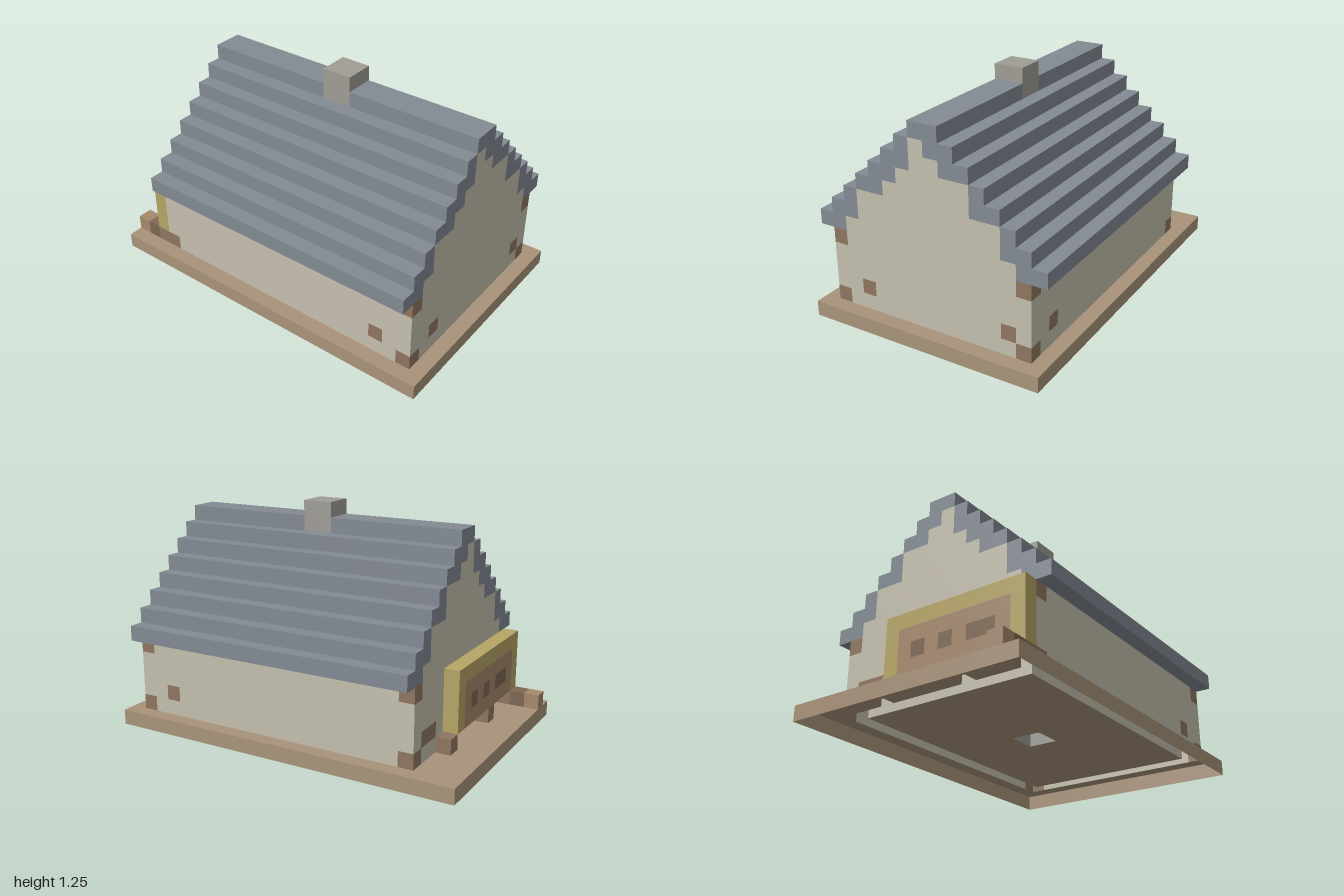
import * as THREE from 'three';

const UNIT = 1 / 12; // one block

const COLORS = {
  basePlate: 0xa8937a,
  walls: 0xc4bfae,
  timberBlocks: 0x8f765f,
  roof: 0x838a93,
  chimney: 0xa09d96,
  porchFrame: 0xb5a565,
  porchPanel: 0xa5886c,
  porchPanelDark: 0x7d6853,
};

// Outward direction of each block face and the two in-plane axes (u x v = n)
const FACES = [];
for (let axis = 0; axis < 3; axis++) {
  for (const sign of [1, -1]) {
    const n = [0, 0, 0], u = [0, 0, 0], v = [0, 0, 0];
    n[axis] = sign;
    u[(axis + (sign > 0 ? 1 : 2)) % 3] = 1;
    v[(axis + (sign > 0 ? 2 : 1)) % 3] = 1;
    FACES.push({ n, u, v });
  }
}

export function createModel() {
  const cells = new Map();
  const key = (x, y, z) => `${x},${y},${z}`;

  // Fill a range of blocks, upper limits excluded; later fills replace earlier ones
  function fill(part, x0, x1, y0, y1, z0, z1) {
    for (let x = x0; x < x1; x++)
      for (let y = y0; y < y1; y++)
        for (let z = z0; z < z1; z++) cells.set(key(x, y, z), { part, p: [x, y, z] });
  }
  const block = (part, x, y, z) => fill(part, x, x + 1, y, y + 1, z, z + 1);

  const FRONT = 10, BACK = -9; // end wall layers

  // Ground plate
  fill('basePlate', -8, 8, 0, 1, -12, 12);

  // Side walls
  for (const x of [-7, 6]) fill('walls', x, x + 1, 1, 6, BACK, FRONT + 1);

  // End walls with stepped gables
  for (const z of [BACK, FRONT]) {
    fill('walls', -7, 7, 1, 6, z, z + 1);
    for (let k = 0; k < 7; k++) fill('walls', k - 7, 7 - k, 6 + k, 7 + k, z, z + 1);
  }

  // Stepped roof, two blocks wide per course, mirrored about the ridge
  for (let k = 0; k < 7; k++) {
    fill('roof', k - 8, k - 6, 6 + k, 7 + k, BACK, FRONT + 1);
    fill('roof', 6 - k, 8 - k, 6 + k, 7 + k, BACK, FRONT + 1);
  }
  fill('roof', -1, 1, 13, 14, BACK, FRONT + 1);

  // Gable blocks let into the roof edge
  for (const z of [BACK, FRONT])
    for (const [x, y] of [[-5, 8], [4, 8], [2, 10], [-1, 12]]) block('walls', x, y, z);

  // Chimney stack
  fill('chimney', -1, 1, 1, 15, 0, 2);

  // Timber at the wall corners and scattered in the walls
  for (const x of [-7, 6])
    for (const z of [BACK, FRONT])
      for (const y of [1, 5]) block('timberBlocks', x, y, z);
  for (const [x, z] of [[-5, FRONT], [5, FRONT], [-7, 8], [6, 8], [5, BACK], [4, BACK]])
    block('timberBlocks', x, 2, z);

  // Framed panel behind the house, raised on short legs
  fill('porchFrame', -7, 3, 2, 6, -10, -9);
  fill('porchPanel', -6, 2, 2, 5, -10, -9);
  fill('porchPanelDark', -5, 1, 3, 4, -10, -9);
  for (const x of [-1, -3]) block('porchPanel', x, 3, -10);
  for (const x of [-7, -3, 3]) block('timberBlocks', x, 1, -10);
  block('porchPanelDark', -7, 1, -11);
  block('porchPanel', -7, 1, -12);

  // Outer skin of the blocks, open underneath
  const skins = {};
  for (const { part, p } of cells.values()) {
    const skin = (skins[part] ??= { pos: [], nor: [] });
    for (const { n, u, v } of FACES) {
      const next = p.map((c, i) => c + n[i]);
      if (next[1] < 0 || cells.has(key(...next))) continue;
      const corner = (a, b) =>
        p.map((c, i) => (c + Math.max(n[i], 0) + a * u[i] + b * v[i]) * UNIT);
      for (const [a, b] of [[0, 0], [1, 0], [1, 1], [0, 0], [1, 1], [0, 1]]) {
        skin.pos.push(...corner(a, b));
        skin.nor.push(...n);
      }
    }
  }

  const group = new THREE.Group();
  group.name = 'house';
  for (const [part, { pos, nor }] of Object.entries(skins)) {
    const geometry = new THREE.BufferGeometry();
    geometry.setAttribute('position', new THREE.Float32BufferAttribute(pos, 3));
    geometry.setAttribute('normal', new THREE.Float32BufferAttribute(nor, 3));
    const material = new THREE.MeshStandardMaterial({ color: COLORS[part], side: THREE.DoubleSide });
    const mesh = new THREE.Mesh(geometry, material);
    mesh.name = part;
    group.add(mesh);
  }
  return group;
}
